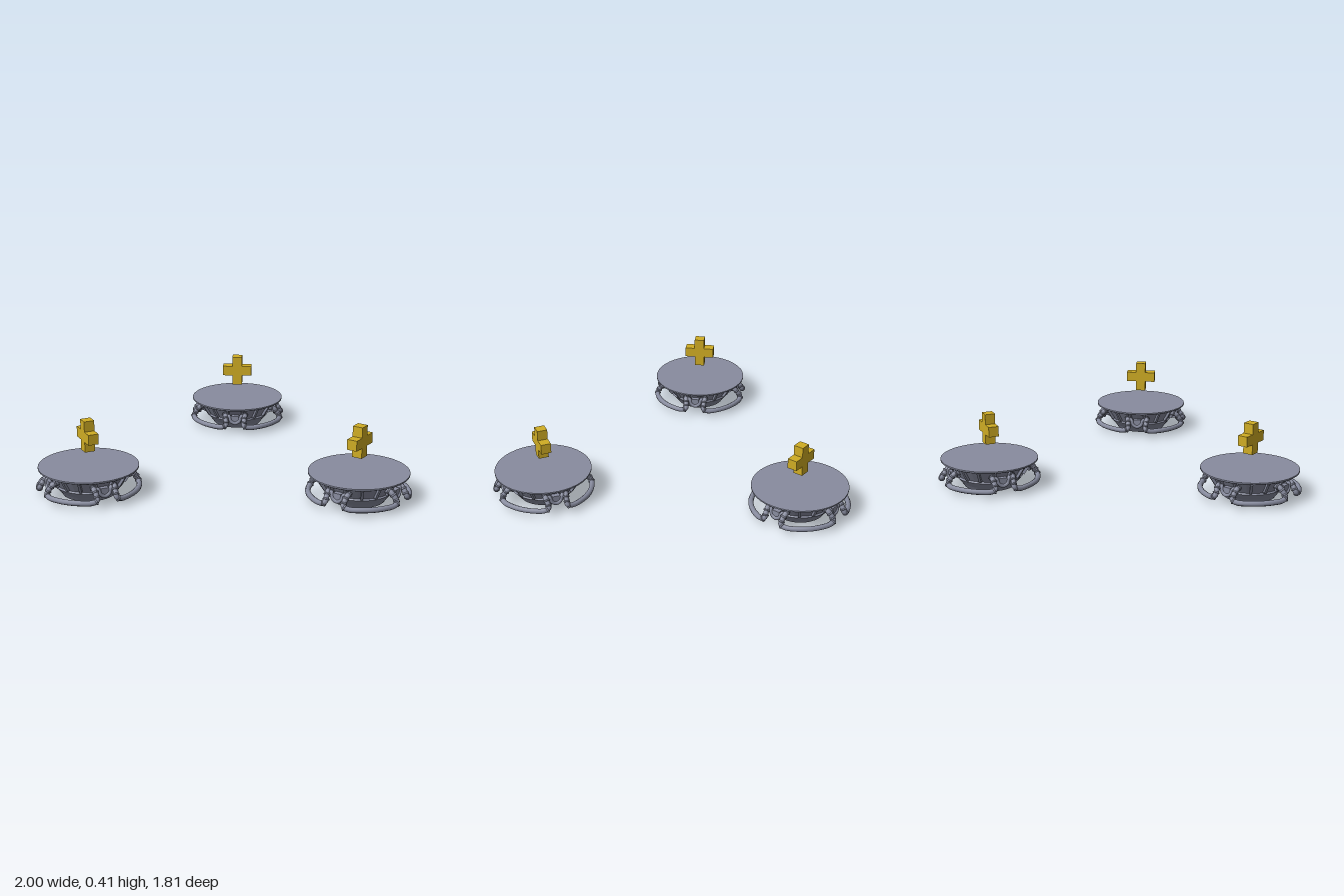
import * as THREE from 'three';

const steel = new THREE.MeshStandardMaterial({ color: 0x888c9f });
steel.name = 'blueGreySteel';
const gold = new THREE.MeshStandardMaterial({ color: 0xd0ad24 });
gold.name = 'gold';

function add(parent, name, geometry, material, x = 0, y = 0, z = 0) {
  const mesh = new THREE.Mesh(geometry, material);
  mesh.name = name;
  mesh.position.set(x, y, z);
  parent.add(mesh);
  return mesh;
}

// Point at an angle (degrees) around the pad axis
function polar(deg, r, y) {
  const a = THREE.MathUtils.degToRad(deg);
  return new THREE.Vector3(Math.cos(a) * r, y, Math.sin(a) * r);
}

function flat(geometry) {
  const g = geometry.toNonIndexed();
  g.computeVertexNormals();
  return g;
}

// Faceted dish with a broad flat top
const dishProfile = [
  [0, 0], [0.14, 0], [0.158, 0.025], [0.188, 0.06], [0.182, 0.068],
  [0.225, 0.135], [0.262, 0.142], [0.27, 0.147], [0.27, 0.155], [0, 0.155],
].map(([r, y]) => new THREE.Vector2(r, y));
const dishGeometry = flat(new THREE.LatheGeometry(dishProfile, 40));

// Curved grab tube centred on angle 0, with ends rising into the dish
const gripPath = new THREE.CatmullRomCurve3([
  polar(-29, 0.185, 0.105), polar(-30, 0.225, 0.104), polar(-32, 0.245, 0.085),
  polar(-33, 0.264, 0.052), polar(-27, 0.268, 0.041), polar(-14, 0.268, 0.04),
  polar(0, 0.268, 0.04),
  polar(14, 0.268, 0.04), polar(27, 0.268, 0.041), polar(33, 0.264, 0.052),
  polar(32, 0.245, 0.085), polar(30, 0.225, 0.104), polar(29, 0.185, 0.105),
]);
const gripGeometry = new THREE.TubeGeometry(gripPath, 56, 0.015, 8, false);
const collarGeometry = new THREE.TorusGeometry(0.0145, 0.005, 6, 10);

function createGrip() {
  const grip = new THREE.Group();
  grip.name = 'grabTube';
  add(grip, 'tube', gripGeometry, steel);
  // Collars along the bends at both ends
  for (const t of [0.07, 0.12, 0.17, 0.22, 0.78, 0.83, 0.88, 0.93]) {
    const p = gripPath.getPointAt(t);
    const collar = add(grip, 'collar', collarGeometry, steel, p.x, p.y, p.z);
    collar.quaternion.setFromUnitVectors(new THREE.Vector3(0, 0, 1), gripPath.getTangentAt(t));
  }
  return grip;
}

// Small hoop joining neighbouring tube ends
const hoopPath = new THREE.CatmullRomCurve3([
  polar(-15, 0.212, 0.108), polar(-9, 0.226, 0.098), polar(-6, 0.23, 0.07),
  polar(0, 0.23, 0.058),
  polar(6, 0.23, 0.07), polar(9, 0.226, 0.098), polar(15, 0.212, 0.108),
]);
const hoopGeometry = new THREE.TubeGeometry(hoopPath, 24, 0.011, 7, false);
const bracketGeometry = new THREE.BoxGeometry(0.05, 0.035, 0.045);
const ribGeometry = new THREE.BoxGeometry(0.02, 0.075, 0.014);

function createPad() {
  const pad = new THREE.Group();
  pad.name = 'pad';
  add(pad, 'dish', dishGeometry, steel);

  // Four grips on the diagonals, hoops and brackets between them
  for (let i = 0; i < 4; i++) {
    const grip = createGrip();
    grip.rotation.y = Math.PI / 4 + i * Math.PI / 2;
    pad.add(grip);
    const joint = new THREE.Group();
    joint.name = 'joint';
    joint.rotation.y = i * Math.PI / 2;
    add(joint, 'hoop', hoopGeometry, steel);
    add(joint, 'bracket', bracketGeometry, steel, 0.207, 0.085, 0);
    pad.add(joint);
  }

  // Slanted ribs under the rim
  for (let i = 0; i < 16; i++) {
    const arm = new THREE.Group();
    arm.name = 'ribArm';
    arm.rotation.y = (i + 0.5) * Math.PI / 8;
    const rib = add(arm, 'rib', ribGeometry, steel, 0.211, 0.105, 0);
    rib.rotation.z = -0.57;
    pad.add(arm);
  }

  // Floating cross made of five cubes
  const cross = new THREE.Group();
  cross.name = 'cross';
  cross.position.y = 0.323;
  const s = 0.057;
  const cube = new THREE.BoxGeometry(s, s, s);
  for (const [x, y] of [[0, 0], [1, 0], [-1, 0], [0, 1], [0, -1]]) {
    add(cross, 'crossCube', cube, gold, x * s, y * s, 0);
  }
  pad.add(cross);
  return pad;
}

export function createModel() {
  const model = new THREE.Group();
  model.name = 'padTrio';
  // Three pads evenly spaced around a shared centre
  for (let i = 0; i < 3; i++) {
    const spoke = new THREE.Group();
    spoke.name = 'padSpoke';
    spoke.position.z = 0.2;
    spoke.rotation.y = i * Math.PI * 2 / 3;
    const pad = createPad();
    pad.position.z = -0.83;
    spoke.add(pad);
    model.add(spoke);
  }
  return model;
}
